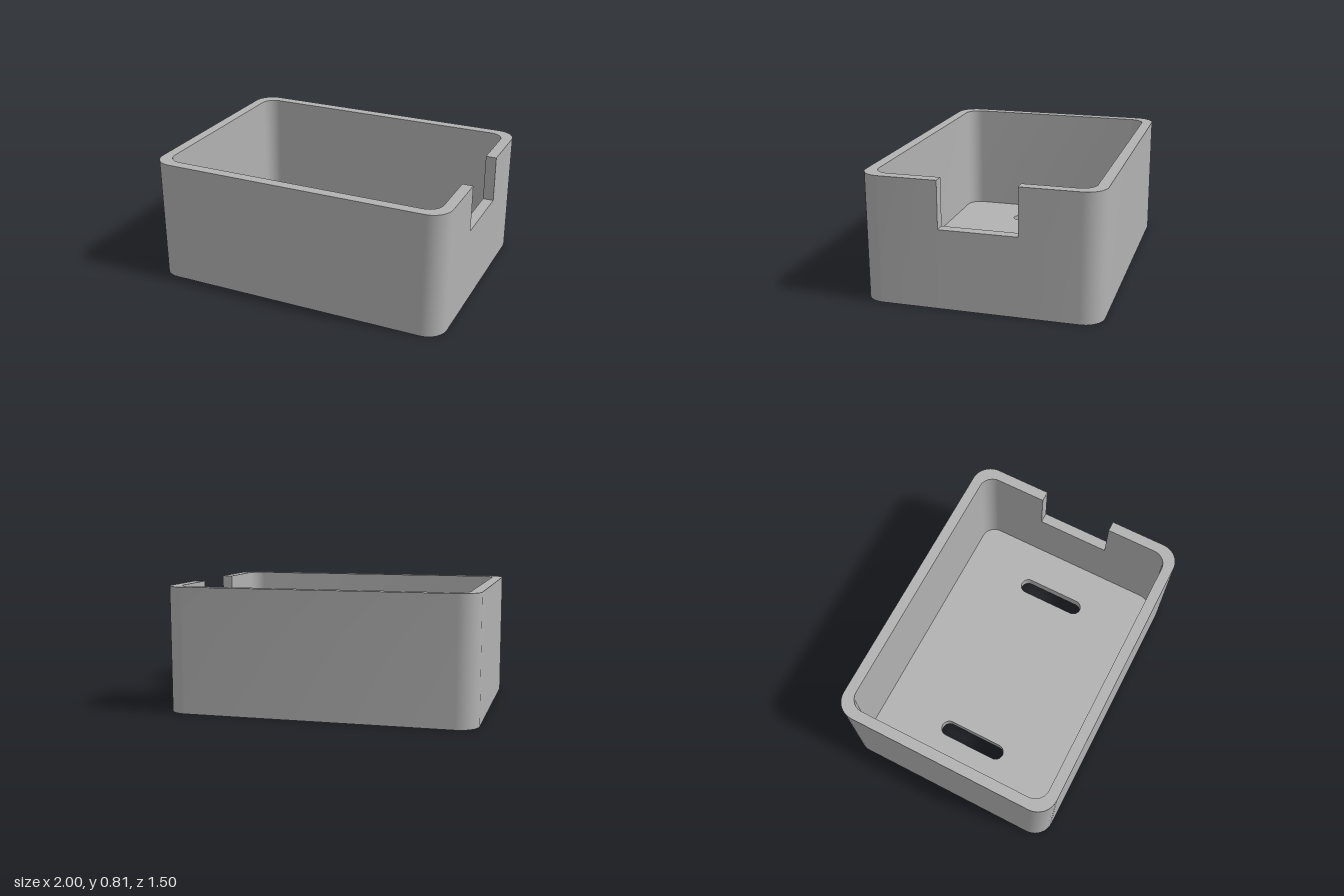
import * as THREE from 'three';
import { mergeGeometries, toCreasedNormals } from 'three/addons/utils/BufferGeometryUtils.js';

const HEIGHT = 0.815, FLOOR = 0.07, SILL = 0.51, WALL = 0.07, NOTCH = 0.248;
const V = (x, y) => new THREE.Vector2(x, y);

// Counter-clockwise rounded rectangle, starting at the middle of its +x side
function roundedLoop(hx, hy, r, cx = 0, segs = 10) {
  const pts = [];
  [[1, 1], [-1, 1], [-1, -1], [1, -1]].forEach(([sx, sy], corner) => {
    for (let i = 0; i <= segs; i++) {
      const a = (corner + i / segs) * Math.PI / 2;
      pts.push(V(cx + sx * (hx - r) + r * Math.cos(a), sy * (hy - r) + r * Math.sin(a)));
    }
  });
  return pts;
}

// Upright skin along a closed loop, facing outward for counter-clockwise loops
function skin(loop, y0, y1) {
  const pos = [];
  loop.forEach((a, i) => {
    const b = loop[(i + 1) % loop.length];
    pos.push(a.x, a.y, y0, b.x, b.y, y0, b.x, b.y, y1);
    pos.push(a.x, a.y, y0, b.x, b.y, y1, a.x, a.y, y1);
  });
  const g = new THREE.BufferGeometry();
  g.setAttribute('position', new THREE.Float32BufferAttribute(pos, 3));
  return g;
}

// Flat face at one height, facing up or down
function cap(loop, y, up = true, holes = []) {
  const shape = new THREE.Shape(loop);
  shape.holes = holes.map(h => new THREE.Path(h));
  const g = new THREE.ShapeGeometry(shape);
  if (!up) g.setIndex(Array.from(g.index.array).reverse());
  const flat = g.toNonIndexed().translate(0, 0, y);
  flat.deleteAttribute('uv');
  flat.deleteAttribute('normal');
  return flat;
}

export function createModel() {
  const plastic = new THREE.MeshStandardMaterial({ color: 0xb2b2b2 });
  plastic.name = 'grey plastic';
  const group = new THREE.Group();
  group.name = 'openBox';

  const addPart = (name, faces) => {
    const g = toCreasedNormals(mergeGeometries(faces), 0.5);
    const mesh = new THREE.Mesh(g.rotateX(-Math.PI / 2), plastic);
    mesh.name = name;
    group.add(mesh);
  };

  // Outlines, including the points where the notch cuts the +x wall
  const withNotch = (x, loop) => [V(x, NOTCH), ...loop, V(x, -NOTCH)];
  const outer = withNotch(1, roundedLoop(1, 0.752, 0.13));
  const inner = withNotch(1 - WALL, roundedLoop(1 - WALL, 0.752 - WALL, 0.095));
  const innerReversed = [...inner].reverse();
  const rim = [...outer, ...innerReversed];
  const slots = [-0.617, 0.617].map(x => roundedLoop(0.053, 0.238, 0.053, x).reverse());

  // Walls: full ring up to the notch sill, then an open ring above it
  addPart('walls', [
    skin(outer, 0, SILL),
    skin(innerReversed, FLOOR, SILL),
    skin(rim, SILL, HEIGHT),
    cap(rim, HEIGHT),
    cap([V(1 - WALL, -NOTCH), V(1, -NOTCH), V(1, NOTCH), V(1 - WALL, NOTCH)], SILL),
  ]);

  // Floor with two through slots
  addPart('floor', [
    cap(outer, 0, false, slots),
    cap(inner, FLOOR, true, slots),
    ...slots.map(s => skin(s, 0, FLOOR)),
  ]);

  return group;
}
